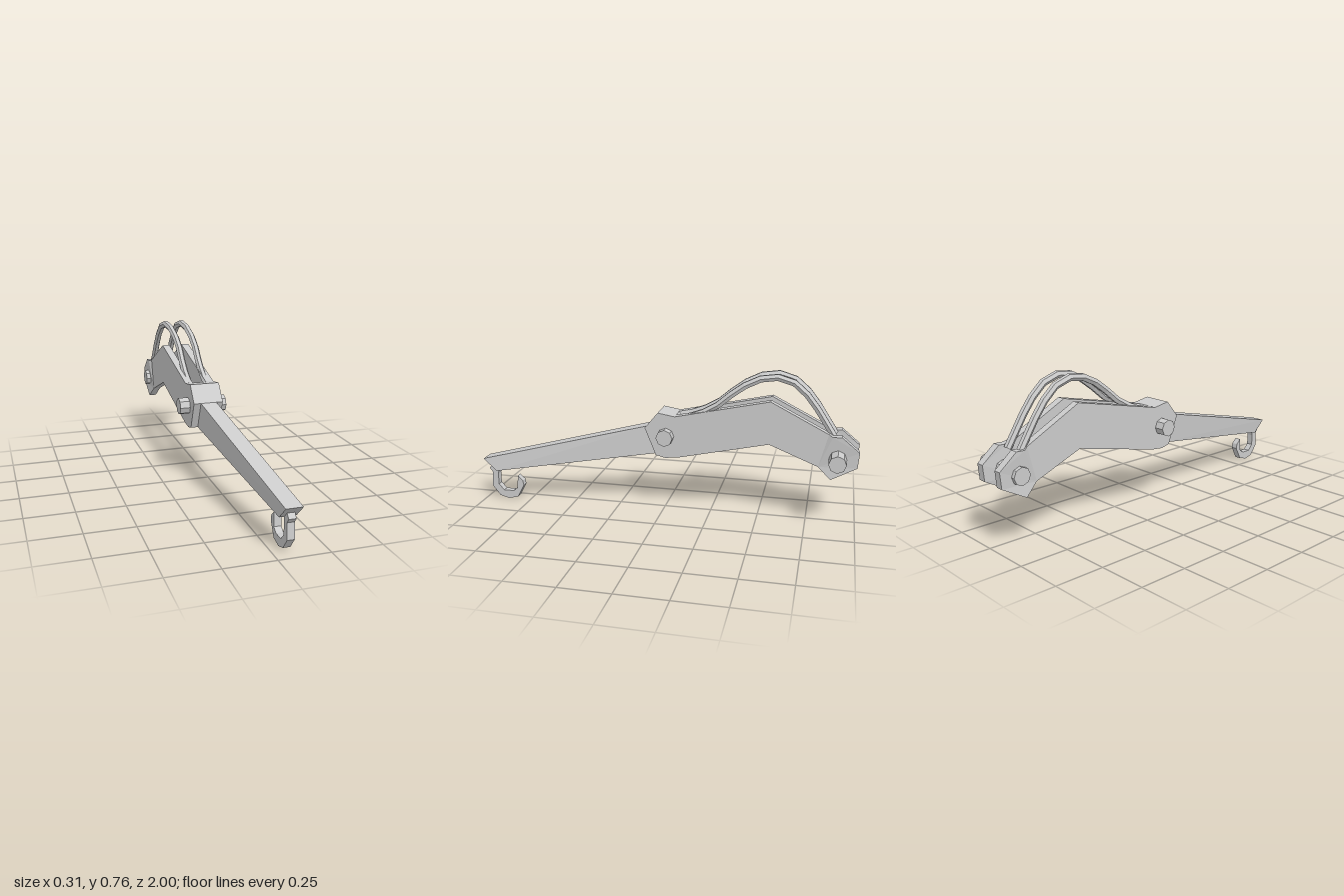
import * as THREE from 'three';

const material = new THREE.MeshStandardMaterial({ color: 0xcccccc, flatShading: true });

// Extrude a side outline of [z, y] points from x0 to x1
function slab(points, x0, x1) {
  const shape = new THREE.Shape(points.map(([z, y]) => new THREE.Vector2(z, y)));
  const geo = new THREE.ExtrudeGeometry(shape, { depth: x1 - x0, bevelEnabled: false });
  return geo.rotateY(-Math.PI / 2).translate(x1, 0, 0);
}

// Move every vertex by a rule
function reshape(geo, rule) {
  const pos = geo.attributes.position;
  const v = new THREE.Vector3();
  for (let i = 0; i < pos.count; i++) {
    v.fromBufferAttribute(pos, i);
    rule(v);
    pos.setXYZ(i, v.x, v.y, v.z);
  }
  geo.computeVertexNormals();
  return geo;
}

export function createModel() {
  const group = new THREE.Group();
  const add = (name, geo) => {
    const mesh = new THREE.Mesh(geo, material);
    mesh.name = name;
    group.add(mesh);
    return mesh;
  };

  // Upper arm: two bent side plates whose rear ends flare outward
  const plate = [
    [0.1, 0.45], [0.03, 0.535], [-0.06, 0.52], [-0.55, 0.628], [-0.845, 0.478],
    [-0.8, 0.305], [-0.55, 0.405], [-0.08, 0.3], [-0.01, 0.293], [0.04, 0.305],
  ];
  const plateEnd = [
    [-0.8, 0.305], [-0.845, 0.478], [-0.865, 0.468], [-0.91, 0.47],
    [-1, 0.395], [-0.993, 0.315], [-0.865, 0.245],
  ];
  for (const [side, x0, x1, flare] of [['right', -0.105, -0.065, -0.013], ['left', 0.008, 0.05, 0.013]]) {
    add(side + 'ArmPlate', slab(plate, x0, x1));
    add(side + 'ArmPlateEnd', reshape(slab(plateEnd, x0, x1), (v) => {
      if (v.z < -0.86) v.x += flare;
    }));
  }

  // Elbow block filling the space between the plates
  add('elbowBlock', slab([
    [0.1, 0.45], [0.03, 0.535], [-0.06, 0.52], [-0.13, 0.44],
    [-0.08, 0.32], [-0.01, 0.293], [0.04, 0.305],
  ], -0.105, 0.05));

  // Forearm: tapering beam that drifts sideways towards its slanted tip
  add('forearm', reshape(new THREE.BoxGeometry(1, 1, 1), (v) => {
    const tip = v.z > 0, top = v.y > 0, left = v.x > 0;
    v.x = tip ? (left ? 0.11 : 0.028) : (left ? 0.015 : -0.068);
    v.y = tip ? (top ? 0.232 : 0.165) : (top ? 0.45 : 0.305);
    v.z = tip ? (top ? 1 : 0.93) : (top ? 0.1 : 0.04);
  }));

  // Octagonal hinge pins
  for (const [name, x0, x1, y, z] of [
    ['elbowPin', -0.157, 0.093, 0.412, -0.013],
    ['shoulderPin', -0.135, 0.155, 0.357, -0.895],
  ]) {
    const pin = add(name, new THREE.CylinderGeometry(0.044, 0.044, x1 - x0, 8));
    pin.rotation.z = Math.PI / 2;
    pin.position.set((x0 + x1) / 2, y, z);
  }

  // Two hoses arching over the upper arm
  const hosePath = [
    [-0.078, 0.5, -0.04], [-0.071, 0.525, -0.155], [-0.062, 0.59, -0.28],
    [-0.059, 0.667, -0.37], [-0.067, 0.728, -0.47], [-0.075, 0.748, -0.57],
    [-0.08, 0.723, -0.66], [-0.083, 0.65, -0.74], [-0.087, 0.45, -0.875],
  ].map((p) => new THREE.Vector3(...p));
  for (const [name, dx] of [['rightHose', 0], ['leftHose', 0.093]]) {
    const curve = new THREE.CatmullRomCurve3(hosePath);
    add(name, new THREE.TubeGeometry(curve, 12, 0.019, 6)).position.x = dx;
  }

  // Hook hanging below the forearm tip
  add('hook', slab([
    [0.955, 0.2], [0.98, 0.173], [0.962, 0.15], [0.968, 0.07], [0.925, 0.015],
    [0.875, 0.001], [0.82, 0.015], [0.782, 0.085], [0.787, 0.112], [0.815, 0.138],
    [0.82, 0.068], [0.845, 0.048], [0.9, 0.048], [0.93, 0.08], [0.93, 0.14], [0.92, 0.19],
  ], 0.052, 0.088));

  return group;
}
